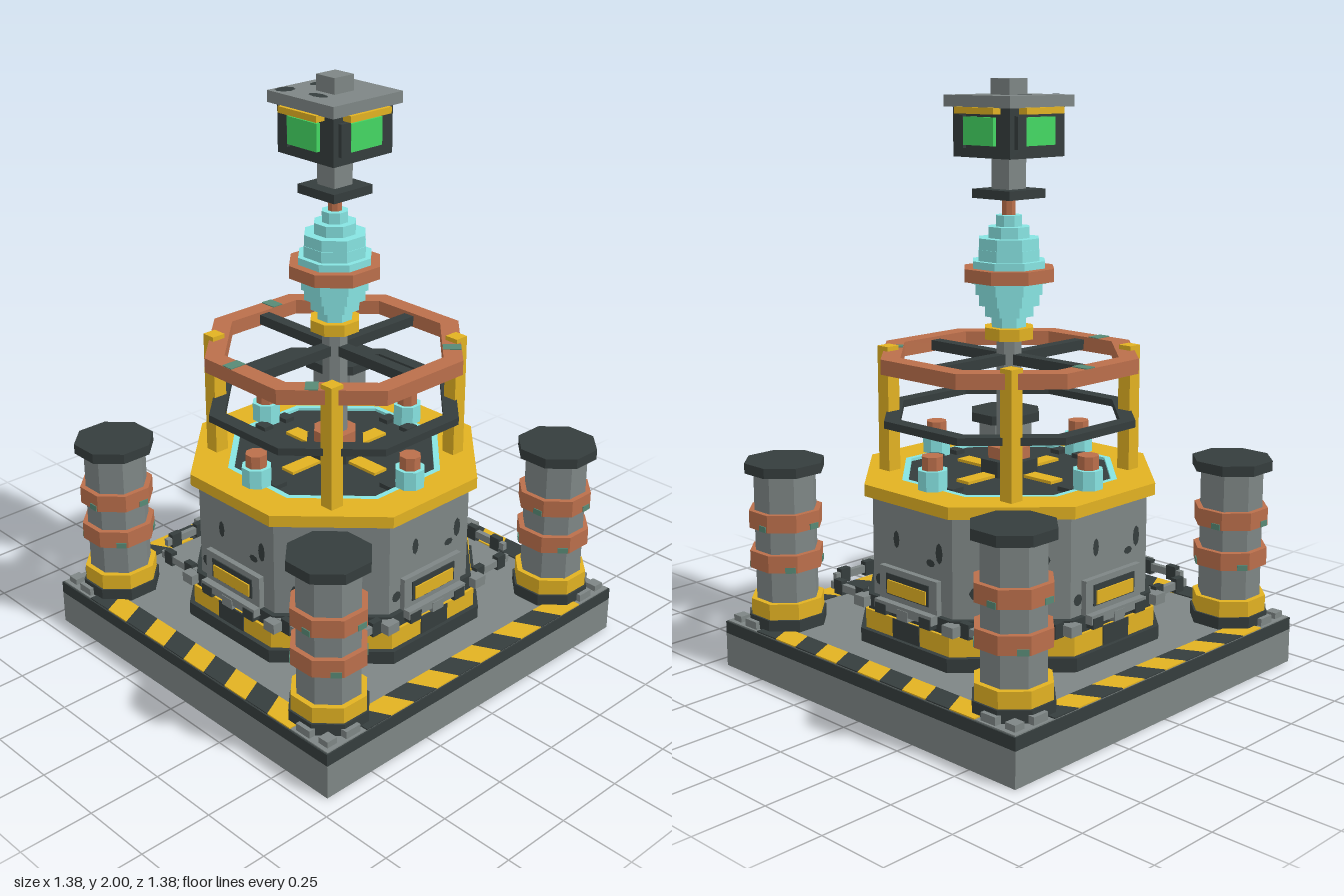
import * as THREE from 'three';

const mat = (name, color) => {
  const m = new THREE.MeshStandardMaterial({ color });
  m.name = name;
  m.flatShading = true;
  return m;
};

export function createModel() {
  const grey = mat('steel grey', 0x7e8685), dark = mat('dark iron', 0x353d3d);
  const yellow = mat('safety yellow', 0xe2b222), copper = mat('copper', 0xbb6f4b);
  const cyan = mat('pale cyan', 0x87e4e2), green = mat('screen green', 0x44d863);
  const patina = mat('patina', 0x588a76);

  const root = new THREE.Group();
  root.name = 'energyTower';
  const C = Math.cos(Math.PI / 8);

  const add = (parent, name, geo, m, x = 0, y = 0, z = 0) => {
    const mesh = new THREE.Mesh(geo, m);
    mesh.name = name;
    mesh.position.set(x, y, z);
    parent.add(mesh);
    return mesh;
  };
  // Box given by its size and its bottom and top heights
  const box = (p, name, m, x, z, w, d, y0, y1) =>
    add(p, name, new THREE.BoxGeometry(w, y1 - y0, d), m, x, (y0 + y1) / 2, z);
  // Octagonal prism with its flats facing the axes, a = distance to a flat
  const oct = (p, name, m, a, y0, y1, x = 0, z = 0) =>
    add(p, name, new THREE.CylinderGeometry(a / C, a / C, y1 - y0, 8).rotateY(Math.PI / 8), m, x, (y0 + y1) / 2, z);
  const octPoints = a => Array.from({ length: 8 }, (_, i) => {
    const t = (i + 0.5) * Math.PI / 4;
    return new THREE.Vector2(Math.cos(t) * a / C, Math.sin(t) * a / C);
  });
  const ring = (p, name, m, outer, inner, y0, y1) => {
    const s = new THREE.Shape(octPoints(outer));
    s.holes.push(new THREE.Path(octPoints(inner)));
    const g = new THREE.ExtrudeGeometry(s, { depth: y1 - y0, bevelEnabled: false });
    return add(p, name, g.rotateX(-Math.PI / 2), m, 0, y0, 0);
  };
  // Group turned to one side of the tower
  const side = (name, angle) => {
    const g = new THREE.Group();
    g.name = name;
    g.rotation.y = angle;
    root.add(g);
    return g;
  };
  const spot = (p, x, y, z, rx, ry) =>
    add(p, 'wornSpot', new THREE.CircleGeometry(1, 8).scale(rx, ry, 1), dark, x, y, z);

  // Hollow base with a dark deck slab and grey top sheet
  box(root, 'deckSlab', dark, 0, 0, 1.38, 1.38, 0.118, 0.16);
  box(root, 'deckSheet', grey, 0, 0, 1.37, 1.37, 0.16, 0.164);

  for (let k = 0; k < 4; k++) {
    const g = side('baseSide', k * Math.PI / 2);
    box(g, 'baseWall', grey, 0, 0.675, 1.38, 0.03, 0, 0.118);
    // Slanted hazard stripes along the deck edge
    for (let i = 0; i < 10; i++) {
      const s = new THREE.Shape();
      const x = -0.52 + i * 0.104, k0 = i === 0 ? 0 : 0.045, k1 = i === 9 ? 0 : 0.045;
      s.moveTo(x, -0.688);
      s.lineTo(x + 0.104, -0.688);
      s.lineTo(x + 0.104 - k1, -0.6);
      s.lineTo(x - k0, -0.6);
      const geo = new THREE.ExtrudeGeometry(s, { depth: 0.004, bevelEnabled: false }).rotateX(-Math.PI / 2);
      add(g, 'deckStripe', geo, i % 2 ? yellow : dark, 0, 0.164, 0);
    }
    box(g, 'cornerBolt', grey, 0.65, 0.65, 0.04, 0.04, 0.16, 0.185);
    // Side rail running past the collar, with dark clamps
    for (const s of [-1, 1]) {
      box(g, 'rail', grey, s * 0.3, 0.45, 0.2, 0.018, 0.292, 0.318);
      for (const x of [0.25, 0.36]) box(g, 'railClamp', dark, s * x, 0.45, 0.04, 0.024, 0.28, 0.33);
    }
    // Clips along the collar
    for (let i = -2; i <= 2; i++)
      box(g, 'collarClip', i % 2 ? dark : grey, i * 0.105, 0.48, 0.05, 0.035, 0.285, 0.32);

    // Service hatch
    box(g, 'hatchFrame', grey, 0, 0.455, 0.27, 0.03, 0.33, 0.44);
    box(g, 'hatchRecess', dark, 0, 0.471, 0.2, 0.006, 0.35, 0.42);
    box(g, 'hatchHandle', yellow, 0, 0.472, 0.18, 0.014, 0.355, 0.4);
    box(g, 'hatchStep', grey, 0, 0.47, 0.27, 0.05, 0.3, 0.33);

    // Insulator on its sockets, with a yellow deck marker
    oct(g, 'insulator', cyan, 0.047, 0.69, 0.765, 0, 0.355);
    oct(g, 'insulatorCap', copper, 0.034, 0.765, 0.81, 0, 0.355);
    for (const s of [-1, 1]) box(g, 'socket', dark, s * 0.05, 0.31, 0.04, 0.05, 0.68, 0.705);
    box(g, 'deckMarker', yellow, 0, 0.155, 0.056, 0.13, 0.685, 0.7);
    box(g, 'spoke', dark, 0, 0.2, 0.042, 0.33, 1.065, 1.1);
  }

  // Octagonal plinth and body
  oct(root, 'plinth', dark, 0.495, 0.16, 0.21);
  oct(root, 'hazardBand', yellow, 0.478, 0.21, 0.275);
  oct(root, 'lowerCollar', dark, 0.468, 0.275, 0.325);
  oct(root, 'body', grey, 0.45, 0.325, 0.665);
  const spots = [[-0.07, 0.535, 0.014, 0.03], [0.13, 0.53, 0.016, 0.035], [0.09, 0.49, 0.02, 0.013], [-0.155, 0.38, 0.02, 0.02]];
  for (let k = 0; k < 8; k++) {
    const g = side('bodyFace', k * Math.PI / 4);
    box(g, 'bandStripe', dark, 0, 0.479, 0.125, 0.006, 0.21, 0.275);
    if (k % 2) {
      spot(g, -0.1, 0.41, 0.453, 0.035, 0.025);
      spot(g, 0.1, 0.52, 0.453, 0.022, 0.022);
    } else for (const [x, y, rx, ry] of spots) spot(g, x, y, 0.453, rx, ry);
  }

  // Upper deck
  ring(root, 'topTrim', yellow, 0.476, 0.355, 0.66, 0.7);
  ring(root, 'glowRing', cyan, 0.355, 0.335, 0.66, 0.7);
  oct(root, 'upperDeck', dark, 0.336, 0.65, 0.69);

  // Cage: posts and rings
  for (const x of [-0.285, 0.285])
    for (const z of [-0.285, 0.285]) box(root, 'cagePost', yellow, x, z, 0.05, 0.05, 0.69, 1.125);
  ring(root, 'lowerCageRing', dark, 0.41, 0.36, 0.88, 0.905);
  ring(root, 'upperCageRing', copper, 0.418, 0.355, 1.06, 1.11);
  for (const a of [Math.PI, Math.PI / 4, -Math.PI / 4, -Math.PI / 2])
    box(side('ringPatina', a), 'patinaPatch', patina, -0.063, 0.3865, 0.042, 0.061, 1.105, 1.113);

  // Corner pillars
  for (const sx of [-1, 1]) for (const sz of [-1, 1]) {
    const g = new THREE.Group();
    g.name = 'cornerPillar';
    g.position.set(sx * 0.537, 0, sz * 0.537);
    root.add(g);
    oct(g, 'pillarFoot', dark, 0.125, 0.16, 0.205);
    oct(g, 'pillarBase', yellow, 0.118, 0.205, 0.26);
    oct(g, 'pillarShaft', grey, 0.1, 0.26, 0.7);
    oct(g, 'pillarCap', dark, 0.128, 0.7, 0.735);
    for (const y of [0.37, 0.51]) {
      oct(g, 'pillarBand', copper, 0.118, y, y + 0.06);
      // Patina along the lower edge of the band
      for (let i = 0; i < 4; i++) {
        const p = new THREE.Group();
        p.name = 'bandPatina';
        p.rotation.y = i * Math.PI / 2 + (y > 0.4 ? 0 : Math.PI / 4);
        g.add(p);
        box(p, 'patinaPatch', patina, 0.025, 0.118, 0.035, 0.006, y, y + 0.02);
      }
    }
    // Small anchor plates at the foot
    box(g, 'anchorPlate', grey, sx * 0.03, sz * 0.125, 0.06, 0.03, 0.16, 0.19);
    box(g, 'anchorPlate', grey, sx * 0.125, sz * 0.03, 0.03, 0.06, 0.16, 0.19);
  }

  // Central mast and stacked insulator
  oct(root, 'mastFoot', dark, 0.095, 0.69, 0.745);
  oct(root, 'mastFootBand', copper, 0.07, 0.745, 0.785);
  oct(root, 'mast', grey, 0.042, 0.785, 1.15);
  oct(root, 'mastCollar', yellow, 0.08, 1.15, 1.19);
  const stack = [0.057, 0.08, 0.1, 0.11, 0.123, 0.118, 0.1, 0.098, 0.067, 0.042];
  const step = 0.37 / stack.length;
  stack.forEach((a, i) => oct(root, 'insulatorDisc', cyan, a, 1.19 + i * step, 1.19 + (i + 1) * step));
  oct(root, 'insulatorBand', copper, 0.147, 1.345, 1.388);
  oct(root, 'insulatorTip', copper, 0.022, 1.56, 1.61);

  // Beacon head
  box(root, 'headPlate', dark, 0, 0, 0.17, 0.17, 1.615, 1.645);
  box(root, 'headStem', grey, 0, 0, 0.08, 0.08, 1.645, 1.75);
  box(root, 'head', dark, 0, 0, 0.256, 0.256, 1.75, 1.91);
  box(root, 'headRoof', grey, 0, 0, 0.3, 0.3, 1.91, 1.948);
  box(root, 'roofKnob', grey, 0, 0, 0.084, 0.084, 1.948, 2);
  for (let k = 0; k < 4; k++) {
    const g = side('headFace', k * Math.PI / 2);
    box(g, 'screen', green, 0, 0.135, 0.135, 0.016, 1.79, 1.88);
    box(g, 'screenFrame', dark, -0.088, 0.134, 0.04, 0.018, 1.78, 1.885);
    box(g, 'visor', yellow, 0, 0.145, 0.175, 0.036, 1.89, 1.911);
  }
  // Worn spots on the roof
  for (const [x, z, rx, rz] of [[-0.11, -0.11, 0.035, 0.03], [0.02, -0.095, 0.035, 0.022], [-0.09, 0.02, 0.02, 0.04]])
    spot(root, x, 1.951, z, rx, rz).rotation.x = -Math.PI / 2;

  return root;
}
